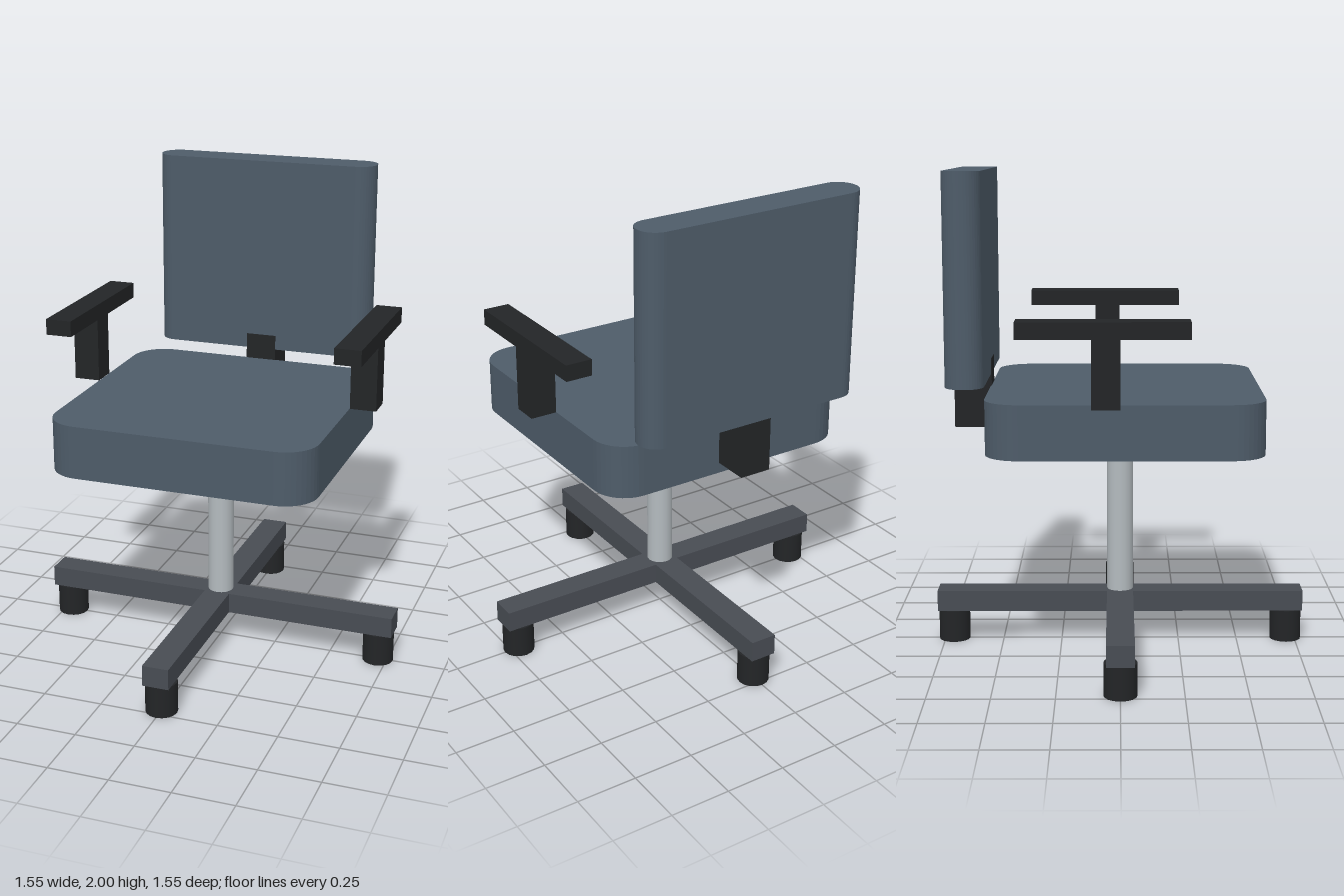
import * as THREE from 'three';

const upholstery = new THREE.MeshStandardMaterial({ color: 0x4e5c69 });
const black = new THREE.MeshStandardMaterial({ color: 0x232527 });
const baseGrey = new THREE.MeshStandardMaterial({ color: 0x484c53 });
const metal = new THREE.MeshStandardMaterial({ color: 0xb4bbbf });

// Slab with corners rounded in plan, standing on y = 0
function roundedSlab(width, depth, height, r) {
  const x = width / 2, z = depth / 2, s = new THREE.Shape();
  s.moveTo(-x + r, -z);
  s.lineTo(x - r, -z);
  s.absarc(x - r, -z + r, r, -Math.PI / 2, 0);
  s.lineTo(x, z - r);
  s.absarc(x - r, z - r, r, 0, Math.PI / 2);
  s.lineTo(-x + r, z);
  s.absarc(-x + r, z - r, r, Math.PI / 2, Math.PI);
  s.lineTo(-x, -z + r);
  s.absarc(-x + r, -z + r, r, Math.PI, Math.PI * 1.5);
  return new THREE.ExtrudeGeometry(s, { depth: height, bevelEnabled: false, curveSegments: 5 })
    .rotateX(-Math.PI / 2);
}

export function createModel() {
  const chair = new THREE.Group();
  chair.name = 'officeChair';

  function add(name, geometry, material, x, y, z, parent = chair) {
    const mesh = new THREE.Mesh(geometry, material);
    mesh.name = name;
    mesh.position.set(x, y, z);
    parent.add(mesh);
    return mesh;
  }

  // Cushions
  add('seat', roundedSlab(1.11, 1.11, 0.22, 0.14), upholstery, 0, 0.892, 0.02);
  add('backrest', roundedSlab(0.976, 0.154, 0.84, 0.075), upholstery, 0, 1.16, -0.612);

  // Bracket joining seat and backrest
  add('backBracket', new THREE.BoxGeometry(0.133, 0.287, 0.155), black, 0, 1.08, -0.61);

  // Armrests, mirrored
  for (const side of [1, -1]) {
    const arm = new THREE.Group();
    arm.name = side > 0 ? 'leftArmrest' : 'rightArmrest';
    add('armPost', new THREE.BoxGeometry(0.11, 0.27, 0.11), black, side * 0.611, 1.247, -0.055, arm);
    add('armPad', new THREE.BoxGeometry(0.11, 0.066, 0.666), black, side * 0.611, 1.413, -0.066, arm);
    chair.add(arm);
  }

  // Column
  add('column', new THREE.CylinderGeometry(0.055, 0.055, 0.67, 16), metal, 0, 0.557, 0);

  // Crossed base beams
  add('baseBeamX', new THREE.BoxGeometry(1.555, 0.088, 0.111), baseGrey, 0, 0.179, 0);
  add('baseBeamZ', new THREE.BoxGeometry(0.111, 0.088, 1.555), baseGrey, 0, 0.179, 0);

  // Feet under the beam ends
  for (let i = 0; i < 4; i++) {
    const a = i * Math.PI / 2;
    add('foot', new THREE.CylinderGeometry(0.066, 0.066, 0.135, 16), black,
      0.711 * Math.cos(a), 0.0675, 0.711 * Math.sin(a));
  }
  return chair;
}
